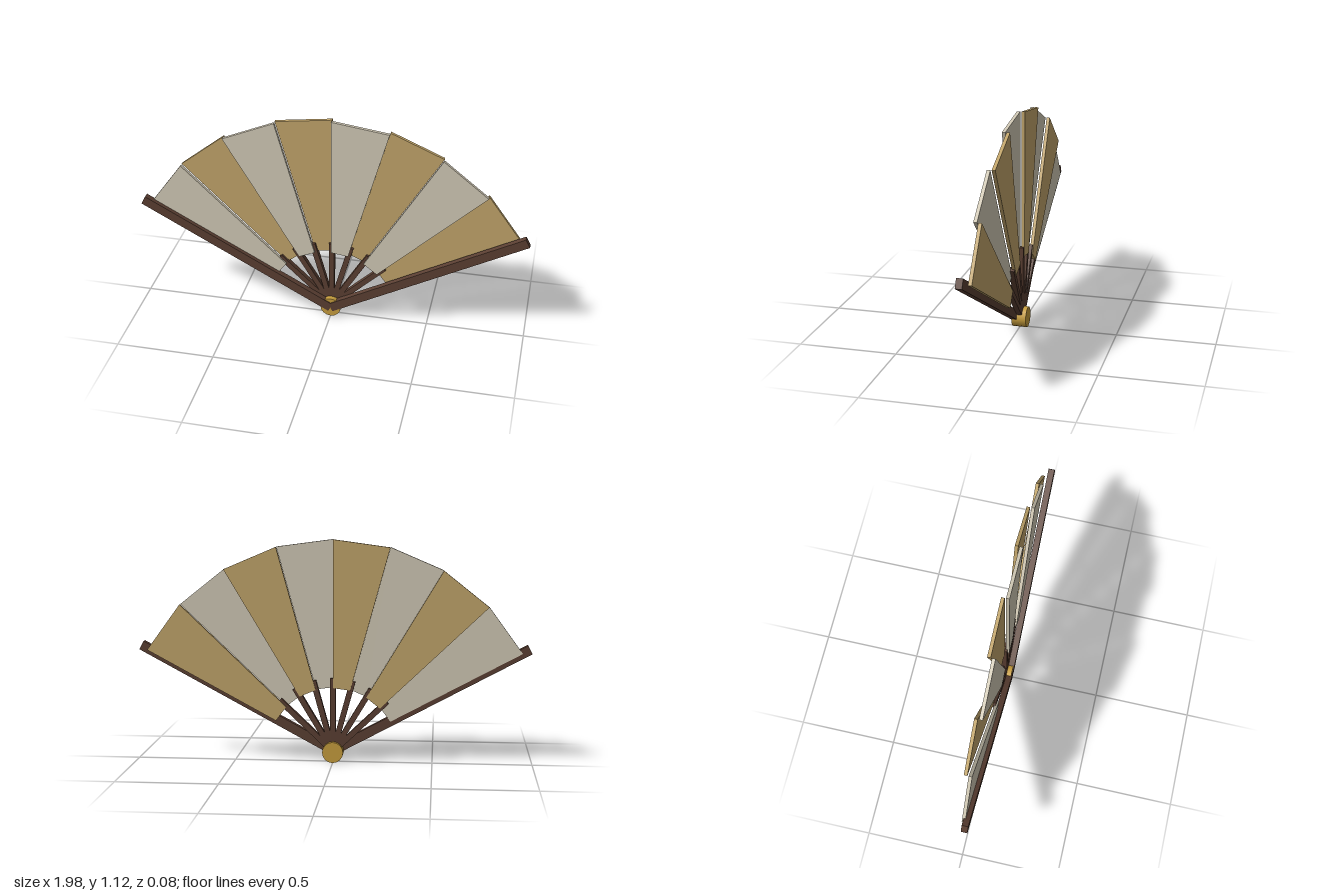
import * as THREE from 'three';

const PIVOT_Y = 0.053;
const STEP = THREE.MathUtils.degToRad(15.4); // angle between neighbouring folds
const INNER = 0.328, OUTER = 1.072;

const mat = (color) => new THREE.MeshStandardMaterial({ color });

// Bar that starts at the pivot and leans by an angle measured from straight up
function bar(name, angle, length, width, zBack, zFront, material) {
  const geo = new THREE.BoxGeometry(width, length, zFront - zBack);
  geo.translate(0, length / 2, (zFront + zBack) / 2);
  const mesh = new THREE.Mesh(geo, material);
  mesh.rotation.z = -angle;
  mesh.name = name;
  return mesh;
}

// Flat wedge between two fold angles
function panel(a0, a1, zBack, zFront, material) {
  const at = (r, a) => new THREE.Vector2(r * Math.sin(a), r * Math.cos(a));
  const shape = new THREE.Shape([at(INNER, a0), at(INNER, a1), at(OUTER, a1), at(OUTER, a0)]);
  const geo = new THREE.ExtrudeGeometry(shape, { depth: zFront - zBack, bevelEnabled: false });
  geo.translate(0, 0, zBack);
  return new THREE.Mesh(geo, material);
}

export function createModel() {
  const fan = new THREE.Group();
  fan.name = 'foldingFan';
  const wood = mat(0x5c4033), cream = mat(0xd4ccb8), tan = mat(0xc4a76c), brass = mat(0xc99f3e);

  const body = new THREE.Group();
  body.name = 'fanBody';
  body.position.y = PIVOT_Y;
  fan.add(body);

  // Leaf panels: cream ones in front, tan ones behind
  const leaf = new THREE.Group();
  leaf.name = 'leaf';
  for (let i = 0; i < 8; i++) {
    const a = (i - 4) * STEP;
    const front = i % 2 === 0;
    const p = front
      ? panel(a, a + STEP, 0.001, 0.018, cream)
      : panel(a, a + STEP, -0.022, -0.005, tan);
    p.name = front ? 'creamPanel' : 'tanPanel';
    leaf.add(p);
  }
  body.add(leaf);

  // Short inner ribs, one under each fold
  const ribs = new THREE.Group();
  ribs.name = 'ribs';
  for (let k = -3; k <= 3; k++) ribs.add(bar('rib', k * STEP, 0.375, 0.028, -0.018, 0.009, wood));
  body.add(ribs);

  // Thick outer guards
  for (const s of [-1, 1]) {
    body.add(bar(s > 0 ? 'leftGuard' : 'rightGuard', s * 4 * STEP, 1.113, 0.048, 0.008, 0.04, wood));
  }

  // Pivot pin
  const pin = new THREE.Mesh(new THREE.CylinderGeometry(0.053, 0.053, 0.075, 16), brass);
  pin.rotation.x = Math.PI / 2;
  pin.position.z = -0.0025;
  pin.name = 'pivotPin';
  body.add(pin);

  return fan;
}
